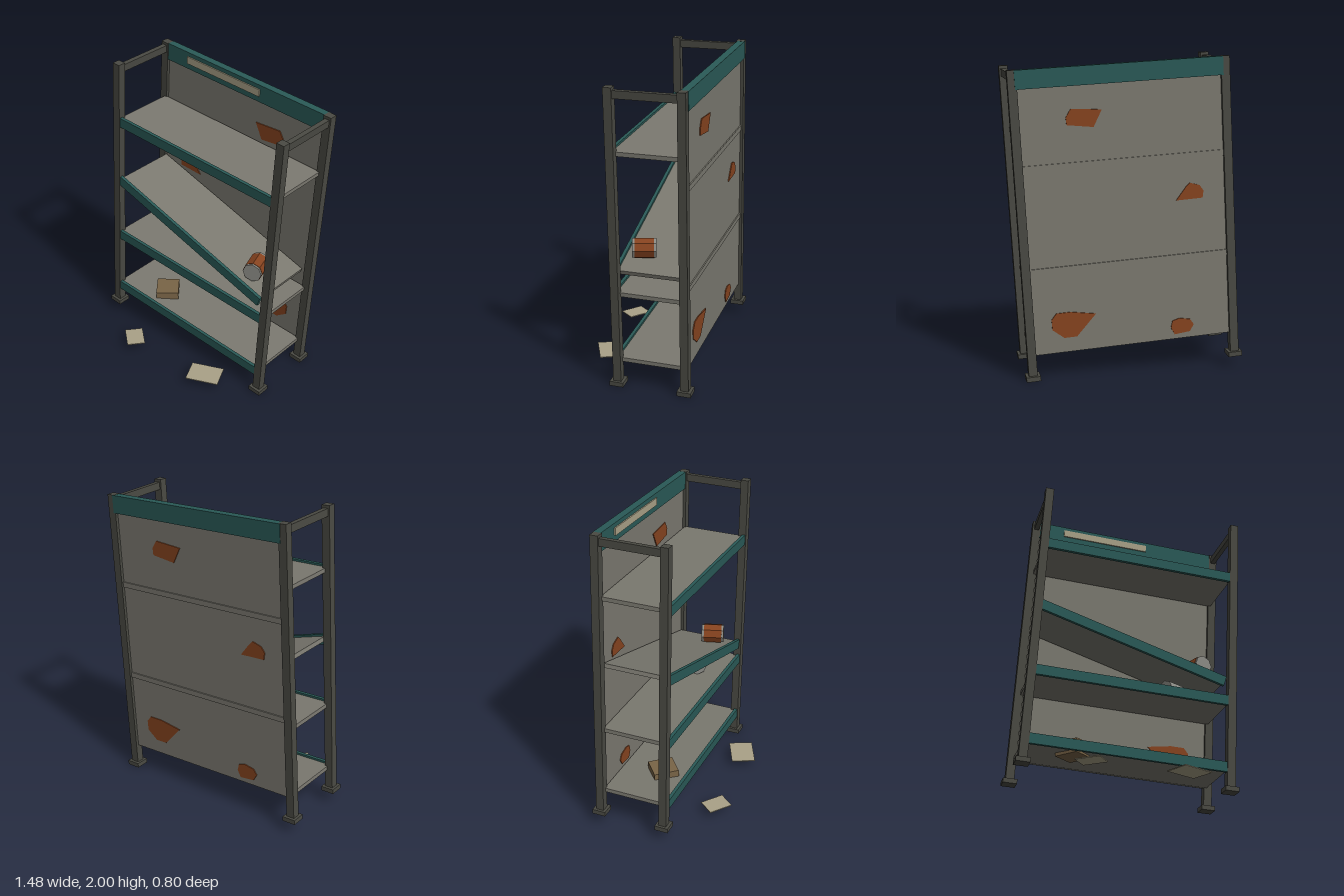
import * as THREE from 'three';

const mat = (name, color) => Object.assign(new THREE.MeshStandardMaterial({ color, flatShading: true }), { name });

export function createModel() {
  const model = new THREE.Group();
  model.name = 'leaningShelf';
  const frame = mat('darkFrame', 0x4a4a43);
  const teal = mat('tealPaint', 0x2a5a57);
  const sheet = mat('greySheet', 0x7b7970);
  const rust = mat('rust', 0x86431f);
  const paper = mat('paper', 0xaaa288);
  const tin = mat('tin', 0x8a8a84);
  const card = mat('cardboard', 0x7a6547);

  const add = (parent, name, geo, material, x, y, z) => {
    const m = new THREE.Mesh(geo, material);
    m.name = name;
    m.position.set(x, y, z);
    parent.add(m);
    return m;
  };
  const box = (parent, name, material, w, h, d, x, y, z) =>
    add(parent, name, new THREE.BoxGeometry(w, h, d), material, x, y, z);

  // The whole rack leans to one side
  const rack = new THREE.Group();
  rack.name = 'rack';
  rack.position.set(-0.045, 0.04, 0);
  rack.rotation.z = -0.054;
  model.add(rack);

  // Posts, feet and top side bars
  for (const s of [-1, 1]) {
    for (const z of [0.085, -0.355]) {
      box(rack, 'post', frame, 0.055, 1.925, 0.052, s * 0.655, 0.9625, z);
      box(rack, 'foot', frame, 0.09, 0.03, 0.09, s * 0.655, 0.015, z);
    }
    box(rack, 'sideBar', frame, 0.032, 0.048, 0.4, s * 0.655, 1.883, -0.135);
  }

  // Shelves, each a board with a painted front beam; one has collapsed
  const shelves = [[0, 0.16, 0], [0, 0.61, 0], [-0.014, 0.9, -0.256], [0, 1.513, 0]];
  for (const [x, y, tilt] of shelves) {
    const shelf = new THREE.Group();
    shelf.name = tilt ? 'fallenShelf' : 'shelf';
    shelf.position.set(x, y, 0);
    shelf.rotation.z = tilt;
    rack.add(shelf);
    box(shelf, 'board', sheet, tilt ? 1.27 : 1.29, 0.027, 0.42, 0, 0.007, -0.127);
    box(shelf, 'frontBeam', teal, 1.28, 0.066, 0.022, 0, 0, 0.095);
  }

  // Back panel with seam rails, header and label plate
  box(rack, 'backPanel', sheet, 1.28, 1.7, 0.012, 0, 1.005, -0.355);
  for (const y of [0.69, 1.33]) box(rack, 'backRail', sheet, 1.27, 0.035, 0.01, 0, y, -0.364);
  box(rack, 'header', teal, 1.28, 0.115, 0.05, 0, 1.867, -0.36);
  box(rack, 'labelPlate', paper, 0.6, 0.048, 0.009, -0.156, 1.873, -0.331);

  // Rust patches through the back panel
  const patches = [
    [[0.17, 1.685], [0.22, 1.58], [0.385, 1.595], [0.39, 1.64], [0.36, 1.692]],
    [[-0.475, 1.165], [-0.47, 1.12], [-0.3, 1.108], [-0.36, 1.19], [-0.385, 1.217], [-0.45, 1.2]],
    [[0.21, 0.41], [0.33, 0.27], [0.41, 0.265], [0.485, 0.32], [0.49, 0.385], [0.46, 0.425], [0.37, 0.43]],
    [[-0.425, 0.3], [-0.4, 0.255], [-0.3, 0.24], [-0.275, 0.285], [-0.285, 0.33], [-0.33, 0.345], [-0.4, 0.335]],
  ];
  for (const p of patches) {
    const shape = new THREE.Shape(p.map(([x, y]) => new THREE.Vector2(x, y)));
    const geo = new THREE.ExtrudeGeometry(shape, { depth: 0.024, bevelEnabled: false });
    add(model, 'rustPatch', geo, rust, 0, 0, -0.367);
  }

  // Cans lying on their sides, one with a rusty band
  const can = (name, r, length, pos, yaw, banded) => {
    const g = new THREE.Group();
    g.name = name;
    g.position.set(...pos);
    g.rotation.y = yaw;
    model.add(g);
    add(g, 'canBody', new THREE.CylinderGeometry(r, r, length, 8).rotateX(Math.PI / 2), tin, 0, 0, 0);
    if (banded) {
      const band = new THREE.CylinderGeometry(r + 0.003, r + 0.003, length * 0.8, 8).rotateX(Math.PI / 2);
      add(g, 'rustBand', band, rust, 0, 0, 0);
    }
  };
  can('rustyCan', 0.063, 0.15, [0.458, 0.875, -0.038], 0.32, true);
  can('plainCan', 0.06, 0.14, [0.305, 0.715, -0.1], -1.05, false);

  // Cardboard box sunk into the bottom shelf
  box(model, 'carton', card, 0.155, 0.09, 0.165, -0.355, 0.24, -0.065).rotation.y = 0.7;

  // Loose sheets in front
  box(model, 'looseSheet', paper, 0.16, 0.006, 0.122, -0.329, 0.06, 0.302).rotation.y = -0.675;
  box(model, 'looseSheet', paper, 0.22, 0.006, 0.16, 0.288, 0.06, 0.258).rotation.y = 0.44;

  return model;
}
